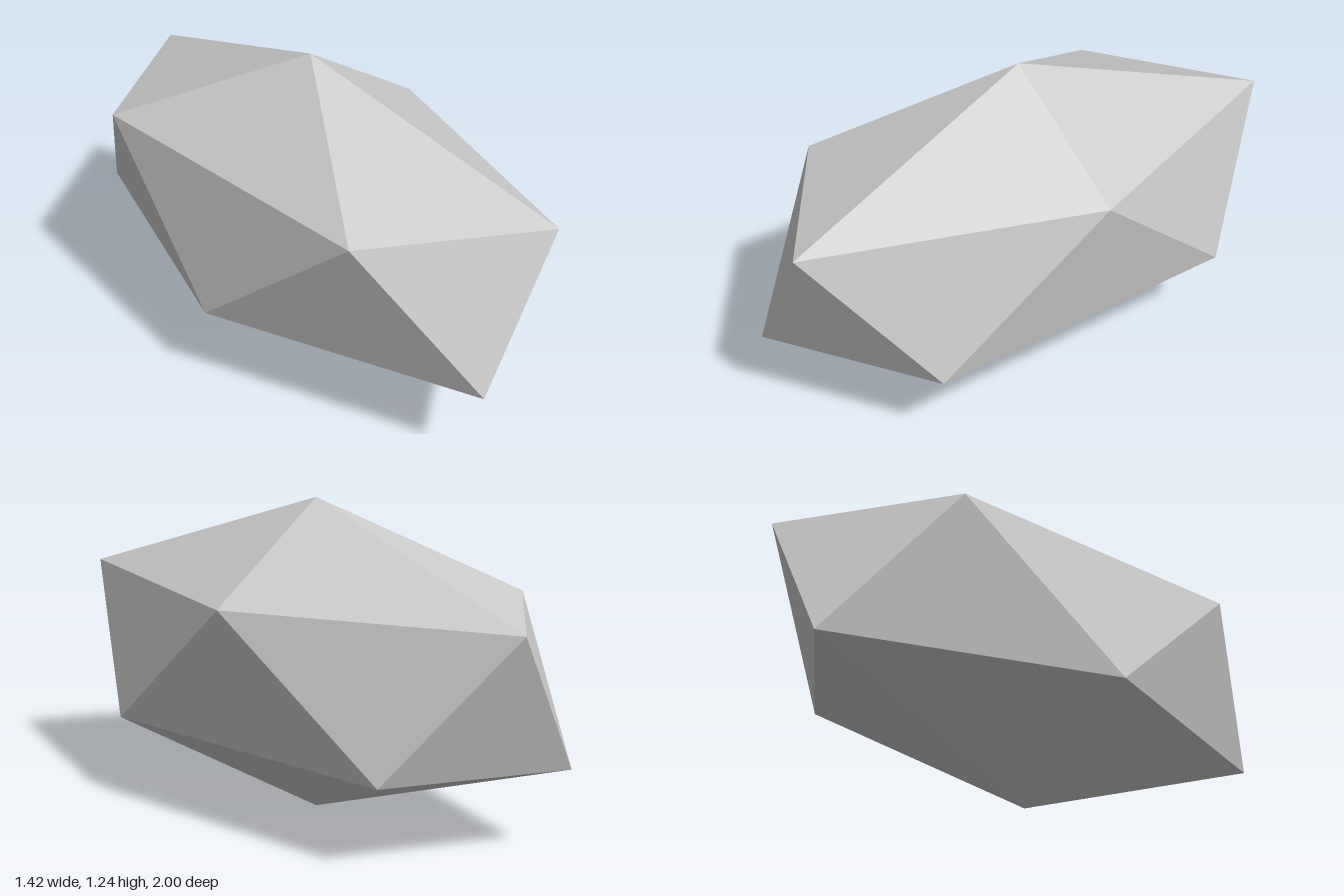
import * as THREE from 'three';

// Stone: a skewed icosahedron made of two apexes and two five-point rings
export function createModel() {
  const model = new THREE.Group();
  model.name = 'stone';

  const grey = new THREE.MeshStandardMaterial({ color: 0xcccccc, flatShading: true });
  grey.name = 'stone grey';

  // Both rings lie on one slanted ellipse, given by its two half axes (x, z)
  const ringPoint = (step, y) => {
    const a = (step * Math.PI * 2) / 5;
    const c = Math.cos(a), s = Math.sin(a);
    return [0.672 * c - 0.281 * s, y, 0.827 * c + 0.561 * s];
  };
  const upper = (k) => ringPoint(k, 0.896);
  const lower = (k) => ringPoint(k + 0.5, 0.344);
  const top = [0, 1.24, 0];
  const bottom = [0, 0, 0];

  // Cap, zigzag belt and base, one fifth at a time
  const positions = [];
  const face = (...corners) => corners.forEach((p) => positions.push(...p));
  for (let k = 0; k < 5; k++) {
    face(top, upper(k + 1), upper(k));
    face(upper(k), upper(k + 1), lower(k));
    face(lower(k), upper(k + 1), lower(k + 1));
    face(bottom, lower(k), lower(k + 1));
  }

  const geometry = new THREE.BufferGeometry();
  geometry.setAttribute('position', new THREE.Float32BufferAttribute(positions, 3));
  geometry.computeVertexNormals();

  const body = new THREE.Mesh(geometry, grey);
  body.name = 'stoneBody';
  model.add(body);
  return model;
}
